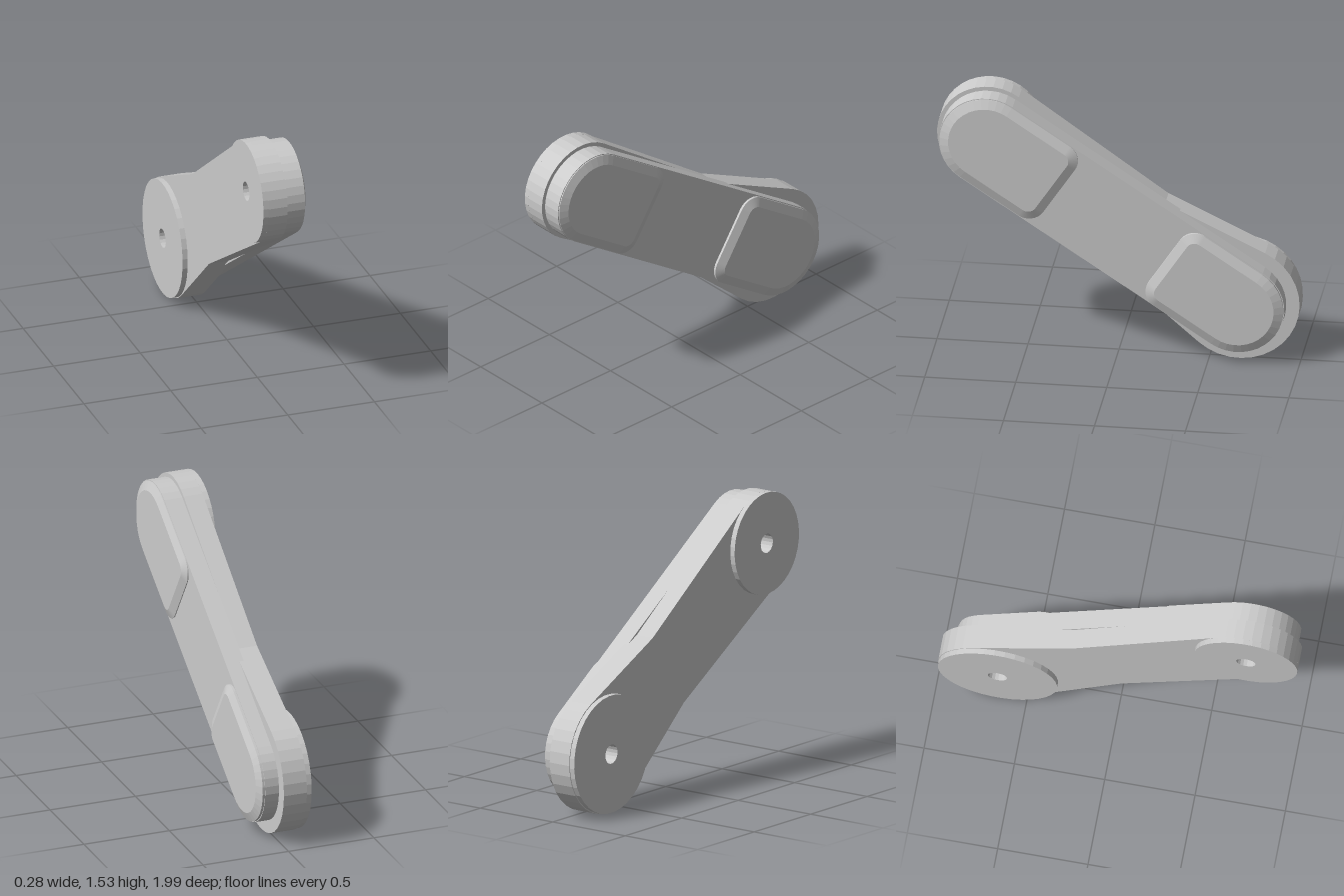
import * as THREE from 'three';

const SPAN = 1.649;          // distance between the two end pivots
const HOLE = 0.054;
const WAIST = 0.25;          // half width where the two body halves meet
const ARC = 9;               // half the number of sides on a round end

export function createModel() {
  const group = new THREE.Group();
  const material = new THREE.MeshStandardMaterial({ color: 0xcccccc });

  // Local frame: u runs from the upper to the lower pivot, v across, depth along +x
  const u = new THREE.Vector3(0, 0.34 - 1.25, -0.66 - 0.715).normalize();
  const x = new THREE.Vector3(1, 0, 0);
  const v = new THREE.Vector3().crossVectors(x, u);
  const frame = new THREE.Matrix4().makeBasis(u, v, x).setPosition(0, 1.25, 0.715);

  // Extrudes a shape from x0 to x1, with an optional outward chamfer at the front
  function slab(name, shape, x0, x1, chamfer = 0, drop = 0) {
    const geo = new THREE.ExtrudeGeometry(shape, {
      depth: x1 - x0 - drop, curveSegments: ARC, bevelEnabled: chamfer > 0,
      bevelSize: chamfer, bevelThickness: drop, bevelSegments: 1,
    });
    geo.translate(0, 0, x0).applyMatrix4(frame);
    const mesh = new THREE.Mesh(geo, material);
    mesh.name = name;
    group.add(mesh);
  }

  // Turns a shape drawn for the upper end round to the lower end if asked
  function place(shape, lower) {
    return new THREE.Shape(shape.getPoints(ARC).map(p => lower
      ? new THREE.Vector2(SPAN - p.x, -p.y) : p));
  }

  function addHole(shape, cx) {
    shape.holes.push(new THREE.Path().absarc(cx, 0, HOLE, 0, Math.PI * 2, true));
    return shape;
  }

  // Outline with a half-round end at each of two points on the axis
  function capsule(r, u0, u1) {
    const s = new THREE.Shape();
    s.absarc(u0, 0, r, Math.PI / 2, Math.PI * 1.5, false);
    s.absarc(u1, 0, r, -Math.PI / 2, Math.PI / 2, false);
    return s;
  }

  // Round end tapering by tangents to the waist
  function bodyHalf(r, length, lower) {
    const a = Math.atan2(WAIST, length) + Math.acos(r / Math.hypot(length, WAIST));
    const s = new THREE.Shape();
    s.absarc(0, 0, r, a, Math.PI * 2 - a, false);
    s.lineTo(length, -WAIST);
    s.lineTo(length, WAIST);
    return addHole(place(s, lower), lower ? SPAN : 0);
  }

  // Half-round pad with a square inner end and rounded corners
  function padShape(r, length, corner, lower) {
    const s = new THREE.Shape();
    s.absarc(0, 0, r, Math.PI / 2, Math.PI * 1.5, false);
    s.absarc(length - corner, -r + corner, corner, -Math.PI / 2, 0, false);
    s.absarc(length - corner, r - corner, corner, 0, Math.PI / 2, false);
    return place(s, lower);
  }

  // Rear body, thicker at the lower end
  slab('upperBody', bodyHalf(0.285, 1.0, false), -0.11, 0);
  slab('lowerBody', bodyHalf(0.335, SPAN - 1.0, true), -0.11, 0.025);

  // Pivot discs on the rear face
  for (const [name, cx, r] of [['upperDisc', 0, 0.285], ['lowerDisc', SPAN, 0.33]]) {
    slab(name, addHole(capsule(r, cx, cx), cx), -0.14, -0.11);
  }

  // Front plate with straight sides and round ends
  slab('frontPlate', capsule(0.262, 0, SPAN), 0, 0.105);

  // Raised pads with chamfered rims
  slab('upperPad', padShape(0.207, 0.43, 0.05, false), 0.07, 0.13, 0.05, 0.02);
  slab('lowerPad', padShape(0.207, 0.425, 0.05, true), 0.07, 0.139, 0.05, 0.021);

  return group;
}
